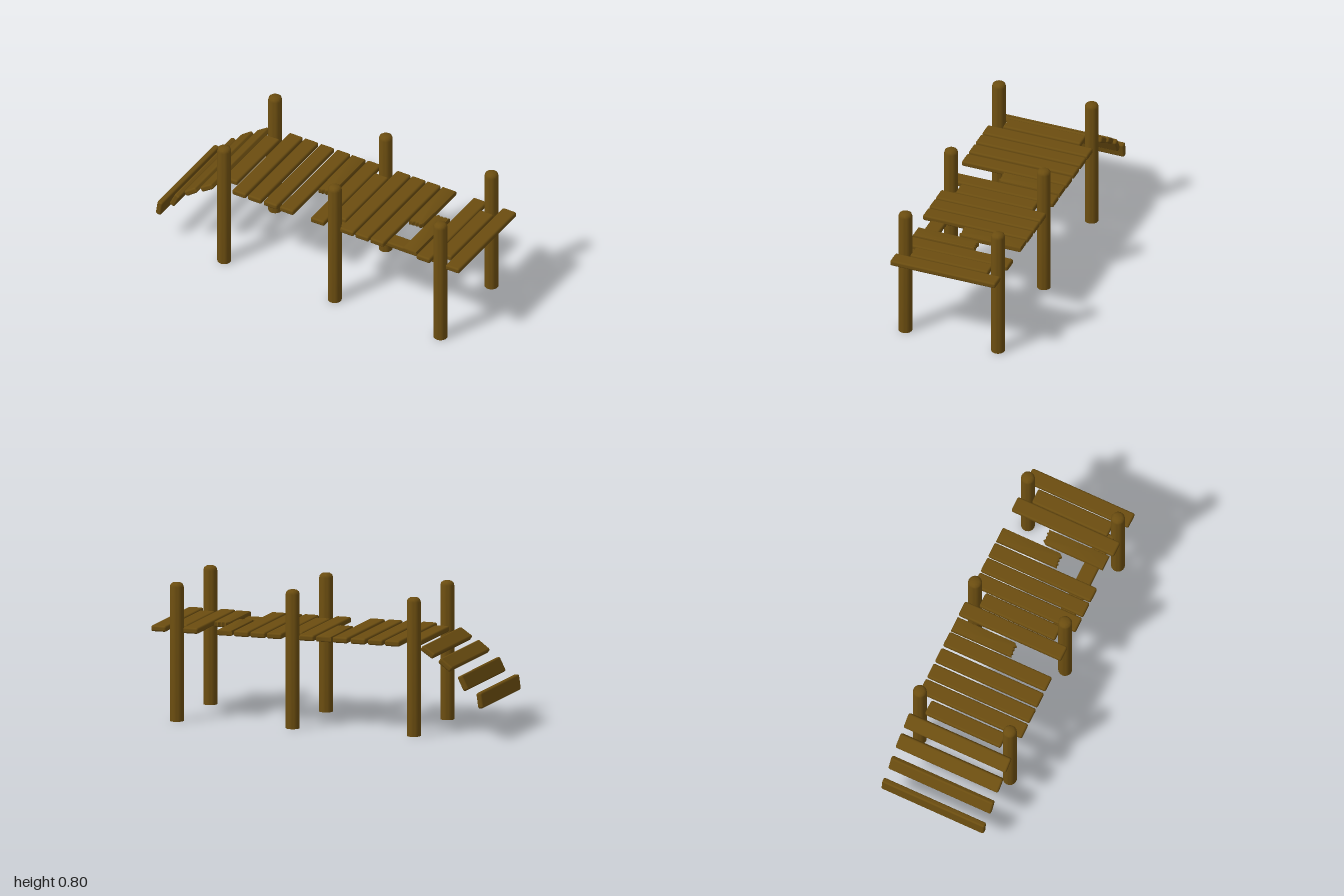
import * as THREE from 'three';
import { RoundedBoxGeometry } from 'three/addons/geometries/RoundedBoxGeometry.js';
import { toCreasedNormals } from 'three/addons/utils/BufferGeometryUtils.js';

const wood = new THREE.MeshStandardMaterial({ color: 0x6b4d10 });
const DECK_Y = 0.529, WIDTH = 0.09, THICK = 0.034;

// Plank lying along z, with softened edges
const plankGeometry = (length) => new RoundedBoxGeometry(WIDTH, THICK, length, 2, 0.011);

// Snapped plank: whole end at -z, splintered end at +z
function brokenPlankGeometry(length) {
  const bevel = 0.009, w = WIDTH / 2 - bevel, h = length / 2 - bevel;
  const shape = new THREE.Shape();
  shape.moveTo(-w, -h);
  shape.lineTo(w, -h);
  const teeth = [[1, -0.012], [0.75, -0.001], [0.45, -0.011], [0.1, -0.003], [-0.2, -0.01], [-0.55, 0], [-0.75, -0.006], [-1, 0]];
  for (const [u, v] of teeth) shape.lineTo(u * w, h + v);
  shape.closePath();
  const depth = THICK - 2 * bevel;
  const g = new THREE.ExtrudeGeometry(shape, {
    depth, bevelEnabled: true, bevelSize: bevel, bevelThickness: bevel, bevelSegments: 2,
  });
  g.translate(0, 0, -depth / 2);
  g.rotateX(Math.PI / 2);
  return toCreasedNormals(g, 0.7);
}

// Round post with a softened top
function postGeometry() {
  const r = 0.0395, h = 0.796;
  const profile = [[0, 0], [r, 0], [r, h - 0.024], [r - 0.004, h - 0.01], [r - 0.016, h - 0.001], [0, h]]
    .map(([x, y]) => new THREE.Vector2(x, y));
  return toCreasedNormals(new THREE.LatheGeometry(profile, 24), 0.7);
}

export function createModel() {
  const model = new THREE.Group();
  model.name = 'brokenPier';

  const add = (name, geometry, x, y, z) => {
    const mesh = new THREE.Mesh(geometry, wood);
    mesh.name = name;
    mesh.position.set(x, y, z);
    model.add(mesh);
    return mesh;
  };

  // Three pairs of posts
  const post = postGeometry();
  for (const x of [-0.57, 0.158, 0.854])
    for (const z of [-0.2825, 0.2825]) add('post', post, x, 0, z);

  // Level deck: full planks, short ones between posts, and snapped ones
  const full = plankGeometry(0.642), short = plankGeometry(0.474), broken = brokenPlankGeometry(0.376);
  const centres = [-0.556, -0.452, -0.35, -0.246, -0.139, -0.04, 0.064, 0.16, 0.257, 0.356, 0.455, 0.556, 0.66, 0.76, 0.853, 0.952];
  centres.forEach((x, i) => {
    if ([0, 7, 14].includes(i)) add('shortPlank', short, x, DECK_Y, 0);
    else if ([5, 11].includes(i)) add('brokenPlank', broken, x, DECK_Y, -0.13);
    else if (i === 12) add('brokenPlank', broken, x, DECK_Y, 0.112).rotation.y = Math.PI;
    else add('plank', full, x, DECK_Y, 0);
  });

  // Planks sagging away at the end: x, y, tilt in degrees
  for (const [x, y, tilt] of [[-0.665, 0.492, 34], [-0.771, 0.424, 37], [-0.877, 0.326, 64], [-0.979, 0.232, 82]])
    add('saggingPlank', full, x, y, 0).rotation.z = THREE.MathUtils.degToRad(tilt);

  // Support board running under the gap
  add('supportBoard', plankGeometry(0.66), 0.503, 0.506, 0.229).rotation.y = Math.PI / 2;

  return model;
}
